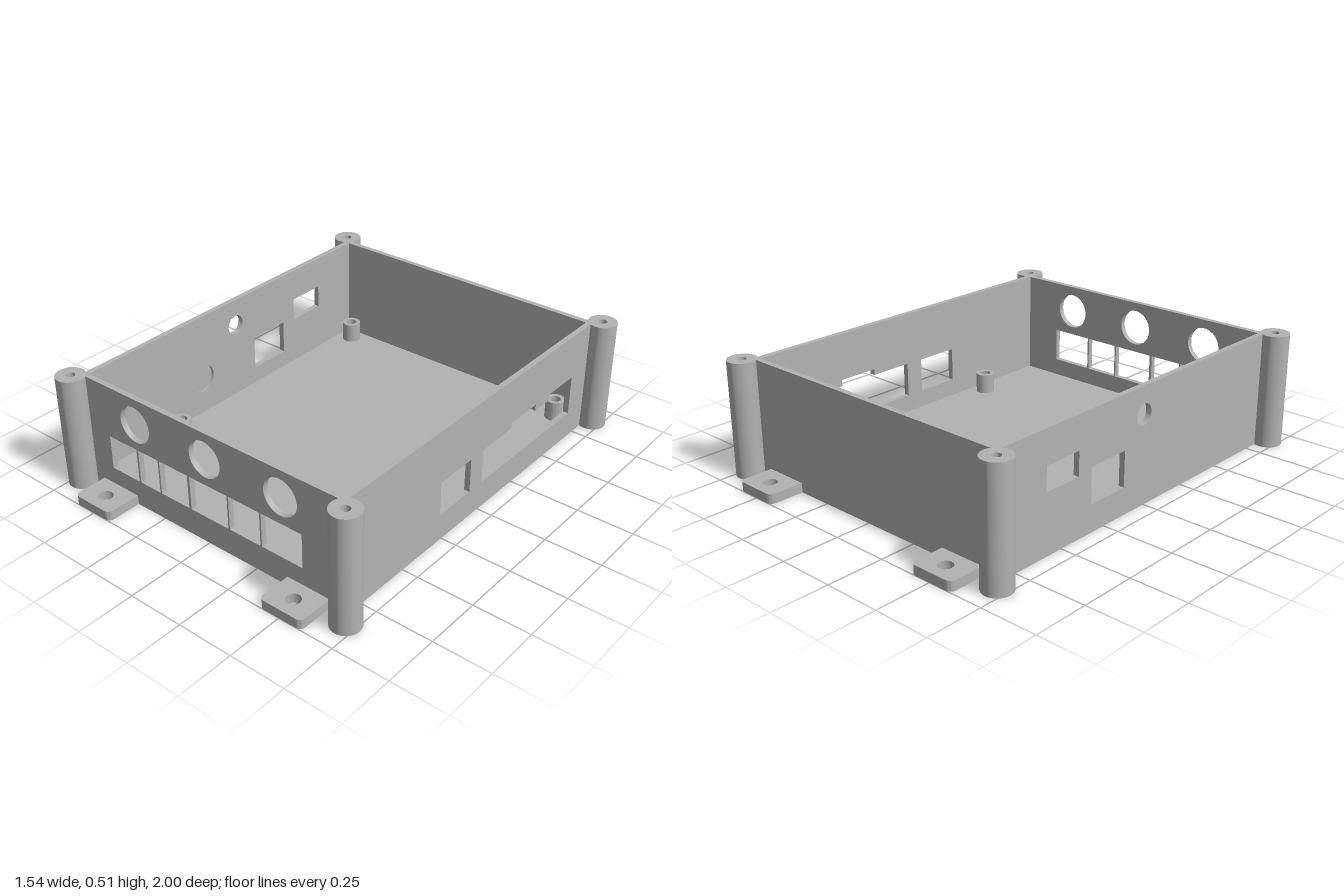
import * as THREE from 'three';
import { toCreasedNormals } from 'three/addons/utils/BufferGeometryUtils.js';

const W = 0.68, D = 0.843, H = 0.51; // half width, half depth, height
const WALL = 0.025, FLOOR = 0.042;

function polygon(points, Type = THREE.Path) {
  return new Type(points.map(([x, y]) => new THREE.Vector2(x, y)));
}
function rect(x0, x1, y0, y1, Type) {
  return polygon([[x0, y0], [x1, y0], [x1, y1], [x0, y1]], Type);
}
function circle(x, y, r, Type = THREE.Path) {
  const p = new Type();
  p.absarc(x, y, r, 0, Math.PI * 2, false);
  return p;
}
function hexagon(x, y, r) {
  return polygon(Array.from({ length: 6 }, (_, i) => {
    const a = i * Math.PI / 3;
    return [x + r * Math.cos(a), y + r * Math.sin(a)];
  }));
}
function plate(shape, holes, depth) {
  shape.holes.push(...holes);
  const geo = new THREE.ExtrudeGeometry(shape, { depth, bevelEnabled: false, curveSegments: 20 });
  return toCreasedNormals(geo, 0.6);
}
// Lay a plate flat: shape y becomes -z, depth becomes height
const flat = (geo, y) => geo.rotateX(-Math.PI / 2).translate(0, y, 0);
// Stand a plate along z: shape x becomes z, depth runs towards -x from x
const along = (geo, x) => geo.rotateY(-Math.PI / 2).translate(x, 0, 0);

export function createModel() {
  const group = new THREE.Group();
  const plastic = new THREE.MeshStandardMaterial({ color: 0xb2b2b2 });
  plastic.name = 'grey plastic';
  const add = (name, geo) => {
    const mesh = new THREE.Mesh(geo, plastic);
    mesh.name = name;
    group.add(mesh);
  };

  // Floor with hexagonal nut pockets under the standoffs
  const mounts = [-0.583, 0.583].flatMap(x => [-0.75, 0.415].map(z => [x, z]));
  add('floor', flat(plate(rect(-W, W, -D, D, THREE.Shape),
    mounts.map(([x, z]) => hexagon(x, -z, 0.035)), FLOOR), 0));

  // Hollow board standoffs
  for (const [x, z] of mounts) {
    add('standoff', flat(plate(circle(x, -z, 0.042, THREE.Shape), [circle(x, -z, 0.024)], 0.09), FLOOR));
  }

  // Front wall: three round openings above a row of ports
  const ports = [[-0.54, -0.385], [-0.375, -0.264], [-0.256, -0.102],
    [-0.09, 0.108], [0.116, 0.273], [0.281, 0.48]];
  const frontHoles = [
    ...[-0.38, 0, 0.38].map(x => circle(x, 0.39, 0.081)),
    ...ports.map(([a, b]) => rect(a, b, 0.12, 0.273)),
  ];
  add('frontWall', plate(rect(-W, W, 0, H, THREE.Shape), frontHoles, WALL).translate(0, 0, D - WALL));
  add('backWall', plate(rect(-W, W, 0, H, THREE.Shape), [], WALL).translate(0, 0, -D));

  // Side walls fit between the front and back walls
  const side = () => rect(-D + WALL, D - WALL, 0, H, THREE.Shape);
  const stepped = polygon([[-0.02, 0.12], [-0.02, 0.275], [-0.22, 0.275], [-0.22, 0.302],
    [-0.405, 0.302], [-0.405, 0.273], [-0.51, 0.273], [-0.51, 0.302], [-0.695, 0.302], [-0.695, 0.122]]);
  add('leftWall', along(plate(side(), [rect(0.065, 0.265, 0.12, 0.273), stepped], WALL), W));

  // Opposite wall in two layers, the inner one has a round recess
  const sideHoles = () => [rect(-0.33, -0.13, 0.12, 0.275), rect(-0.585, -0.405, 0.26, 0.365),
    circle(-0.015, 0.39, 0.045)];
  add('rightWallOuter', along(plate(side(), sideHoles(), WALL / 2), -W + WALL / 2));
  add('rightWallInner', along(plate(side(), [...sideHoles(), circle(0.203, 0.21, 0.063)], WALL / 2), -W + WALL));

  // Corner screw posts with blind holes in the top
  const profile = [[0, 0], [0.063, 0], [0.063, H], [0.019, H], [0.019, 0.2], [0, 0.2]];
  const postGeo = toCreasedNormals(
    new THREE.LatheGeometry(profile.map(([r, y]) => new THREE.Vector2(r, y)), 40), 0.6);
  for (const sx of [-1, 1]) for (const sz of [-1, 1]) {
    add('cornerPost', postGeo.clone().translate(sx * 0.707, 0, sz * 0.872));

    // Mounting tab with rounded outer corners and a screw hole
    const x0 = sx * 0.506 - 0.101, x1 = x0 + 0.202, r = 0.025;
    const tab = new THREE.Shape();
    tab.moveTo(x0, D - 0.01);
    tab.lineTo(x1, D - 0.01);
    tab.lineTo(x1, 1 - r);
    tab.absarc(x1 - r, 1 - r, r, 0, Math.PI / 2, false);
    tab.lineTo(x0 + r, 1);
    tab.absarc(x0 + r, 1 - r, r, Math.PI / 2, Math.PI, false);
    const geo = flat(plate(tab, [circle(sx * 0.506, 0.925, 0.031)], FLOOR), 0);
    if (sz > 0) geo.rotateY(Math.PI);
    add('mountingTab', geo);
  }
  return group;
}
